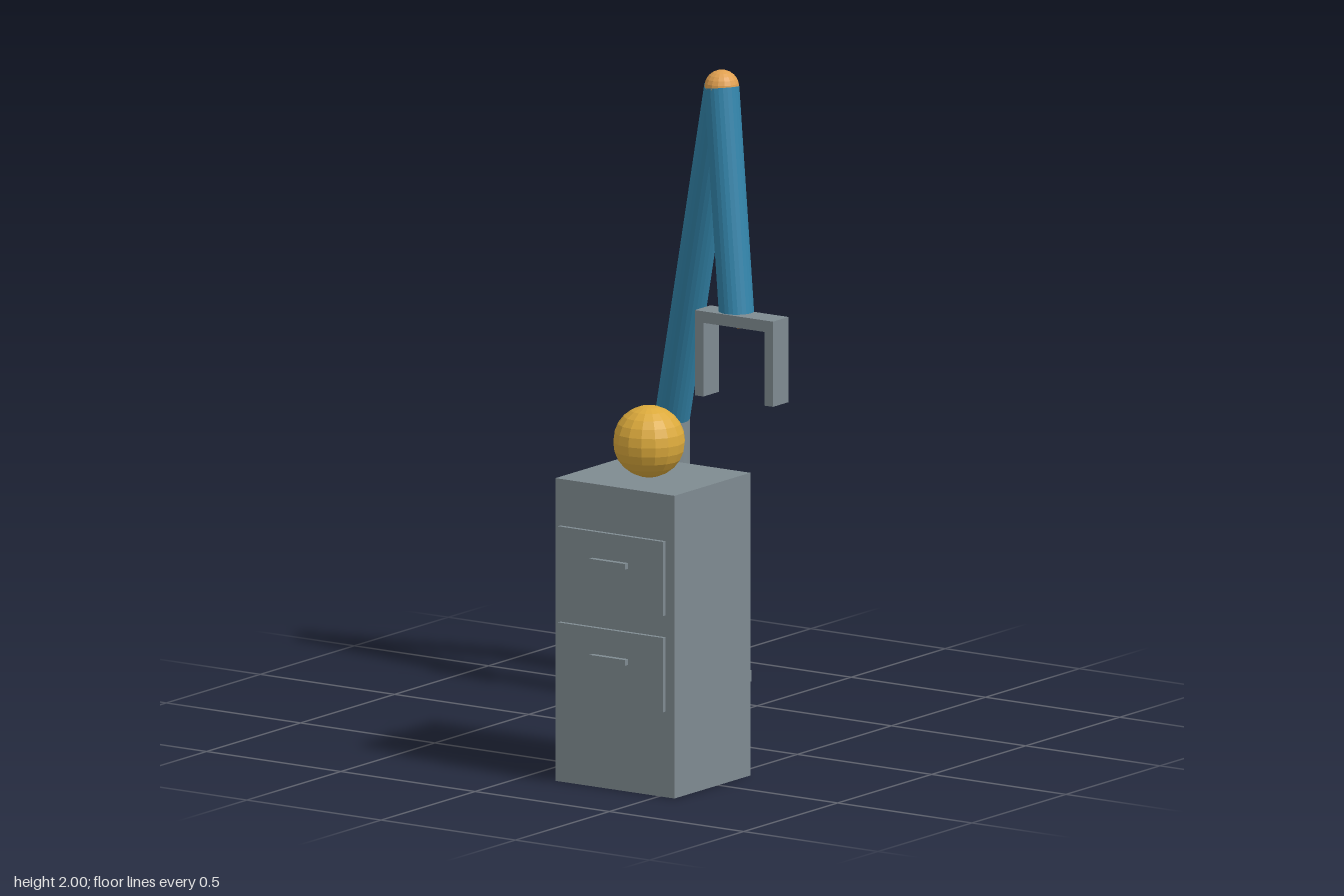
import * as THREE from 'three';

export function createModel() {
  const root = new THREE.Group();
  root.name = 'robotArmWithCabinet';

  const material = (name, color) => {
    const m = new THREE.MeshStandardMaterial({ color, flatShading: true });
    m.name = name;
    return m;
  };
  const gray = material('steelGray', 0x7f8b91);
  const blue = material('armBlue', 0x3385ab);
  const orange = material('jointOrange', 0xe0a050);
  const gold = material('ballGold', 0xdcaa3c);

  const add = (name, geometry, mat, position, parent = root) => {
    const mesh = new THREE.Mesh(geometry, mat);
    mesh.name = name;
    mesh.position.copy(position);
    parent.add(mesh);
    return mesh;
  };
  // Box given by its lower and upper limits on each axis
  const box = (name, [x0, x1], [y0, y1], [z0, z1], parent) =>
    add(name, new THREE.BoxGeometry(x1 - x0, y1 - y0, z1 - z0), gray,
      new THREE.Vector3((x0 + x1) / 2, (y0 + y1) / 2, (z0 + z1) / 2), parent);
  const ball = (name, radius, mat, position, parent) =>
    add(name, new THREE.SphereGeometry(radius, 16, 12), mat, position, parent);
  // Round bar running between two points
  const rod = (name, a, b, radius, mat, parent) => {
    const dir = b.clone().sub(a);
    const mesh = add(name, new THREE.CylinderGeometry(radius, radius, dir.length(), 24), mat,
      a.clone().add(b).multiplyScalar(0.5), parent);
    mesh.quaternion.setFromUnitVectors(new THREE.Vector3(0, 1, 0), dir.normalize());
    return mesh;
  };

  // Robot arm: base, post, two segments and their joints
  const arm = new THREE.Group();
  arm.name = 'robotArm';
  root.add(arm);
  const R = 0.054;
  const foot = new THREE.Vector3(-0.388, 0.035, -0.603);
  const shoulder = new THREE.Vector3(-0.388, 0.835, -0.603);
  const elbow = new THREE.Vector3(-0.05, 1.946, -0.383);
  const wrist = new THREE.Vector3(0.055, 1.237, -0.315);
  box('basePlate', [-0.56, -0.215], [0, 0.035], [-0.776, -0.43], arm);
  rod('post', foot, shoulder, R, gray, arm);
  ball('shoulderJoint', R, orange, shoulder, arm);
  rod('upperArm', shoulder, elbow, R, blue, arm);
  ball('elbowJoint', R, orange, elbow, arm);
  rod('forearm', elbow, wrist, R, blue, arm);
  ball('wristJoint', 0.022, orange, new THREE.Vector3(0.062, 1.24, -0.317), arm);

  // Gripper: cross bar with a finger at each end
  const gripper = new THREE.Group();
  gripper.name = 'gripper';
  arm.add(gripper);
  const gripZ = [-0.34, -0.257];
  box('gripperBar', [-0.062, 0.229], [1.235, 1.271], gripZ, gripper);
  box('rightFinger', [-0.062, -0.03], [1.005, 1.235], gripZ, gripper);
  box('leftFinger', [0.197, 0.229], [1.005, 1.235], gripZ, gripper);

  // Cabinet with two drawers standing just proud of its front
  const cabinet = new THREE.Group();
  cabinet.name = 'cabinet';
  root.add(cabinet);
  box('cabinetBody', [0.113, 0.556], [0, 0.945], [0.33, 0.734], cabinet);
  for (const y of [0.27, 0.57]) {
    box('drawerFront', [0.138, 0.53], [y, y + 0.232], [0.743, 0.757], cabinet);
    box('drawerHandle', [0.268, 0.4], [y + 0.132, y + 0.15], [0.757, 0.775], cabinet);
  }

  // Ball resting on the cabinet
  ball('ball', 0.111, gold, new THREE.Vector3(0.335, 1.056, 0.553));

  return root;
}
